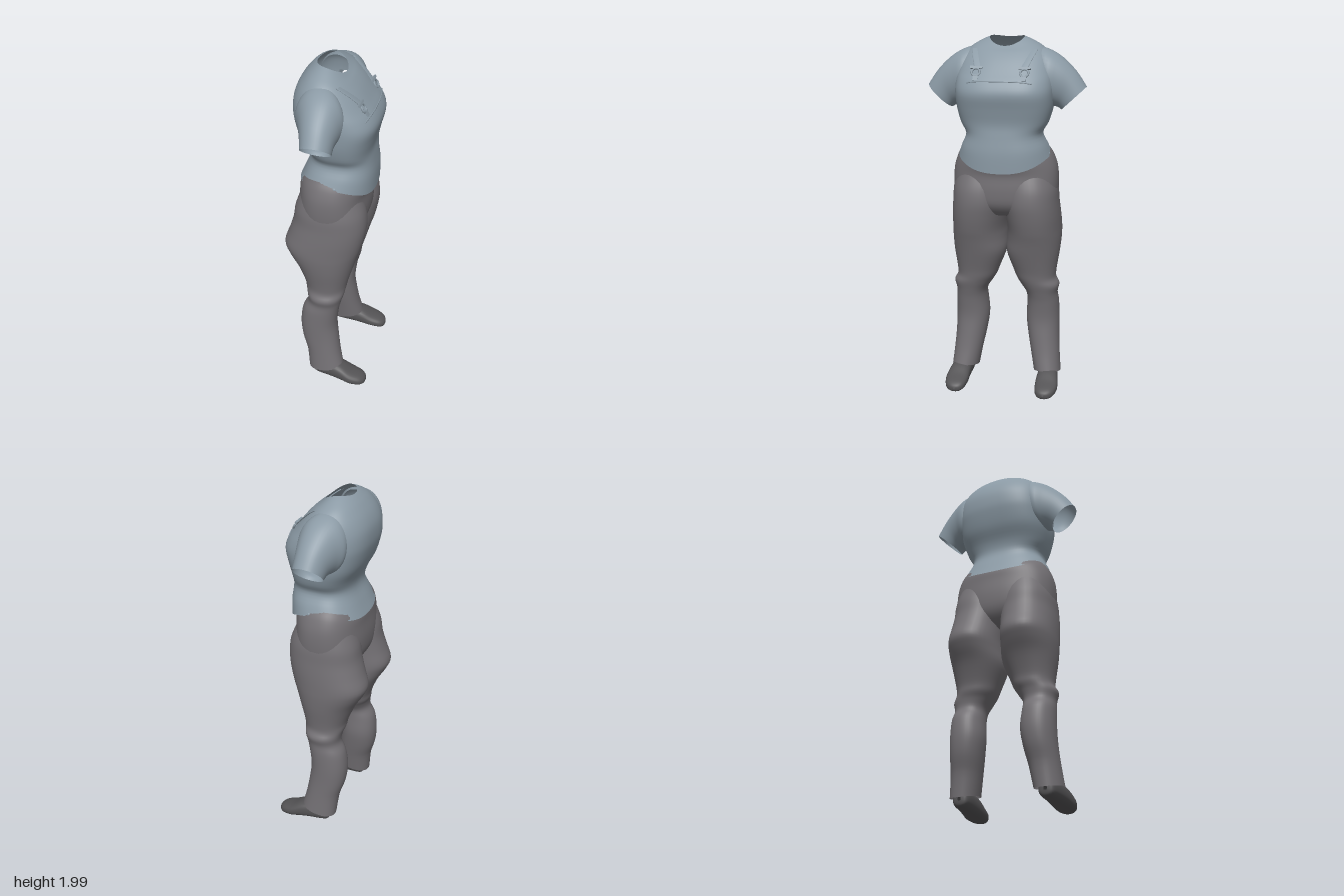
import * as THREE from 'three';

const mat = (name, color) => {
  const m = new THREE.MeshStandardMaterial({ color, side: THREE.DoubleSide });
  m.name = name;
  return m;
};

// Catmull-Rom subdivision of rows of numbers
function refine(rows, k = 4) {
  const out = [];
  const last = rows.length - 1;
  for (let i = 0; i < last; i++) {
    const [a, b, c, d] = [rows[Math.max(i - 1, 0)], rows[i], rows[i + 1], rows[Math.min(i + 2, last)]];
    for (let s = 0; s < k; s++) {
      const t = s / k;
      out.push(b.map((_, j) => b[j] + 0.5 * t * (c[j] - a[j]
        + t * (2 * a[j] - 5 * b[j] + 4 * c[j] - d[j] + t * (3 * (b[j] - c[j]) + d[j] - a[j])))));
    }
  }
  out.push(rows[last]);
  return out;
}

// Skin closed cross-sections; point(row, cos, sin) places one vertex
function loft(rows, point, { seg = 40, flip = false, skip = null } = {}) {
  const pos = [], index = [];
  for (const row of rows) {
    for (let j = 0; j < seg; j++) {
      const t = (j / seg) * Math.PI * 2;
      pos.push(...point(row, Math.cos(t), Math.sin(t)));
    }
  }
  for (let i = 0; i < rows.length - 1; i++) {
    for (let j = 0; j < seg; j++) {
      const a = i * seg + j, b = a + seg, c = i * seg + (j + 1) % seg, d = c + seg;
      if (skip && skip(...pos.slice(a * 3, a * 3 + 3))) continue;
      index.push(...(flip ? [a, c, b, b, c, d] : [a, b, c, b, d, c]));
    }
  }
  const g = new THREE.BufferGeometry();
  g.setAttribute('position', new THREE.Float32BufferAttribute(pos, 3));
  g.setIndex(index);
  g.computeVertexNormals();
  return g;
}

const power = (v, n) => Math.sign(v) * Math.abs(v) ** (2 / n);

// Body ring: [front y, back y, side lift, back x, front x, half width, squareness]
const bodyPoint = ([yf, yb, lift, xb, xf, rz, n], c, s) => [
  (xb + xf) / 2 + (xf - xb) / 2 * power(c, n),
  yb + (yf - yb) * (c + 1) / 2 + lift * s * s,
  rz * power(s, n),
];

export function createModel() {
  const model = new THREE.Group();
  model.name = 'clothedFigure';
  const shirtMat = mat('blue grey shirt', 0x8b9aa5);
  const trouserMat = mat('warm grey trousers', 0x737074);
  const shoeMat = mat('dark grey shoes', 0x555456);
  const add = (name, geometry, material, parent = model) => {
    const m = new THREE.Mesh(geometry, material);
    m.name = name;
    parent.add(m);
    return m;
  };

  // Torso of the shirt, open at neck, hem and armholes
  const torso = add('shirtTorso', loft(refine([
    [1.28, 1.32, 0.065, -0.185, 0.225, 0.255, 2.4],
    [1.38, 1.39, 0.03, -0.155, 0.225, 0.235, 2.5],
    [1.47, 1.47, 0.01, -0.125, 0.215, 0.208, 2.6],
    [1.54, 1.54, 0, -0.135, 0.21, 0.238, 2.7],
    [1.62, 1.62, 0, -0.175, 0.225, 0.26, 2.8],
    [1.70, 1.70, 0, -0.2, 0.242, 0.268, 2.8],
    [1.76, 1.76, 0, -0.21, 0.222, 0.268, 2.7],
    [1.81, 1.83, 0, -0.207, 0.185, 0.262, 2.5],
    [1.872, 1.89, 0, -0.185, 0.137, 0.245, 2.3],
    [1.912, 1.94, 0.01, -0.15, 0.098, 0.2, 2.2],
    [1.932, 1.97, 0.02, -0.12, 0.072, 0.14, 2.1],
    [1.945, 1.985, 0.025, -0.1, 0.055, 0.095, 2],
  ]), bodyPoint, {
    seg: 64,
    skip: (x, y, z) => Math.abs(x + 0.01) < 0.06 && y > 1.65 && y < 1.78 && Math.abs(z) > 0.2,
  }), shirtMat);

  // Hips of the trousers, tucked under the hem
  add('trouserHips', loft(refine([
    [1.02, 1.0, 0, -0.07, 0.06, 0.05, 2],
    [1.03, 1.03, 0, -0.14, 0.13, 0.2, 2.2],
    [1.09, 1.09, 0, -0.18, 0.182, 0.275, 2.4],
    [1.17, 1.18, 0, -0.19, 0.192, 0.291, 2.4],
    [1.25, 1.27, 0.02, -0.183, 0.187, 0.288, 2.4],
    [1.29, 1.32, 0.05, -0.18, 0.195, 0.265, 2.4],
    [1.31, 1.35, 0.065, -0.17, 0.2, 0.24, 2.4],
  ]), bodyPoint, { seg: 64 }), trouserMat);

  // Points along the chest for the straps
  const ray = new THREE.Raycaster();
  const chestX = (y, z) => {
    ray.set(new THREE.Vector3(1, y, z), new THREE.Vector3(-1, 0, 0));
    const hit = ray.intersectObject(torso)[0];
    return hit ? hit.point.x : 0.1;
  };

  for (const s of [1, -1]) {
    const side = s > 0 ? 'left' : 'right';
    const figureSide = s > 0 ? 'Left' : 'Right';
    const flip = s < 0;

    // Sleeve ring: [upper z, upper y, lower z, lower y, back x, front x]
    add('sleeve' + figureSide, loft(refine([
      [0.14, 1.945, 0.18, 1.63, -0.14, 0.06],
      [0.22, 1.93, 0.235, 1.625, -0.155, 0.1],
      [0.3, 1.888, 0.262, 1.622, -0.13, 0.09],
      [0.38, 1.812, 0.285, 1.617, -0.105, 0.075],
      [0.437, 1.73, 0.303, 1.605, -0.092, 0.07],
    ]), ([zu, yu, zl, yl, xb, xf], c, sn) => {
      const k = (1 - sn) / 2;
      return [(xb + xf) / 2 + (xf - xb) / 2 * power(c, 2.2),
        yl + (yu - yl) * k, s * (zl + (zu - zl) * k)];
    }, { flip }), shirtMat);

    // Leg ring: [y, back x, front x, inner z, outer z]
    add(side + 'TrouserLeg', loft(refine([
      [0.1, -0.1, 0.1, 0.165, 0.318],
      [0.2, -0.115, 0.08, 0.145, 0.308],
      [0.3, -0.145, 0.065, 0.125, 0.302],
      [0.4, -0.155, 0.055, 0.112, 0.3],
      [0.5, -0.142, 0.065, 0.118, 0.297],
      [0.56, -0.112, 0.078, 0.115, 0.292],
      [0.61, -0.115, 0.092, 0.085, 0.302],
      [0.65, -0.128, 0.1, 0.06, 0.283],
      [0.7, -0.138, 0.11, 0.04, 0.285],
      [0.8, -0.18, 0.138, 0.003, 0.3],
      [0.88, -0.228, 0.16, 0.006, 0.307],
      [0.94, -0.25, 0.178, 0.008, 0.307],
      [1.02, -0.225, 0.196, 0, 0.303],
      [1.1, -0.202, 0.205, -0.01, 0.296],
      [1.18, -0.19, 0.195, -0.01, 0.29],
      [1.26, -0.165, 0.165, -0.01, 0.27],
    ]), ([y, xb, xf, zi, zo], c, sn) => [
      (xb + xf) / 2 + (xf - xb) / 2 * power(c, 2.2),
      y - (y < 0.2 ? (0.2 - y) * 0.2 * (0.5 - c) : 0),
      s * ((zi + zo) / 2 + (zo - zi) / 2 * power(sn, 2.2)),
    ], { flip }), trouserMat);

    // Shoe ring: [x, bottom y, top y, centre z, half width]
    add(side + 'Shoe', loft(refine([
      [-0.07, 0.06, 0.08, 0.245, 0.01],
      [-0.062, 0.034, 0.11, 0.245, 0.038],
      [-0.03, 0.026, 0.125, 0.247, 0.05],
      [0.04, 0.021, 0.128, 0.252, 0.056],
      [0.1, 0.015, 0.115, 0.256, 0.061],
      [0.16, 0.008, 0.083, 0.26, 0.064],
      [0.215, 0.004, 0.062, 0.258, 0.052],
      [0.24, 0.007, 0.045, 0.256, 0.029],
      [0.247, 0.022, 0.03, 0.255, 0.004],
    ]), ([x, yb, yt, zc, w], c, sn) => [
      x, (yb + yt) / 2 + (yt - yb) / 2 * power(c, 2.6), s * (zc - w * power(sn, 2.3)),
    ], { seg: 28, flip }), shoeMat);

    // Strap lying on the chest, with its buckle and lower tab
    const strapRows = [];
    for (let i = 0; i <= 12; i++) {
      const y = 1.84 + i * 0.0075, z = 0.125 + i * 0.003;
      strapRows.push([chestX(y, s * z), y, z]);
    }
    add(side + 'Strap', loft(strapRows, ([x, y, z], c, sn) => [
      x + 0.006 * c, y, s * (z + 0.02 * power(sn, 4)),
    ], { seg: 16, flip }), shirtMat);

    const buckle = new THREE.Group();
    buckle.name = side + 'Buckle';
    buckle.position.set(chestX(1.815, s * 0.13) + 0.006, 1.815, s * 0.13);
    buckle.rotation.set(0, Math.PI / 2, 0);
    model.add(buckle);
    const tilted = new THREE.Group();
    tilted.name = 'buckleParts';
    tilted.rotation.x = -0.55;
    buckle.add(tilted);
    add('buckleRing', new THREE.TorusGeometry(0.022, 0.006, 8, 20), shirtMat, tilted);
    add('buckleBar', new THREE.BoxGeometry(0.066, 0.012, 0.012), shirtMat, tilted).position.y = 0.028;
    add('buckleTab', new THREE.BoxGeometry(0.026, 0.03, 0.01), shirtMat, tilted).position.y = -0.032;

    // Hip button
    const button = add(side + 'HipButton', new THREE.SphereGeometry(0.012, 12, 8), shirtMat);
    button.position.set(0.05, 1.368, s * 0.245);
    button.scale.z = 0.7;
  }

  // Raised upper edge of the bib
  const edge = [];
  for (let i = -8; i <= 8; i++) {
    const z = i * 0.022, y = 1.772 - 0.012 * (i / 8) ** 4;
    edge.push(new THREE.Vector3(chestX(y, z), y, z));
  }
  add('bibEdge', new THREE.TubeGeometry(new THREE.CatmullRomCurve3(edge), 40, 0.004, 6), shirtMat);

  return model;
}
